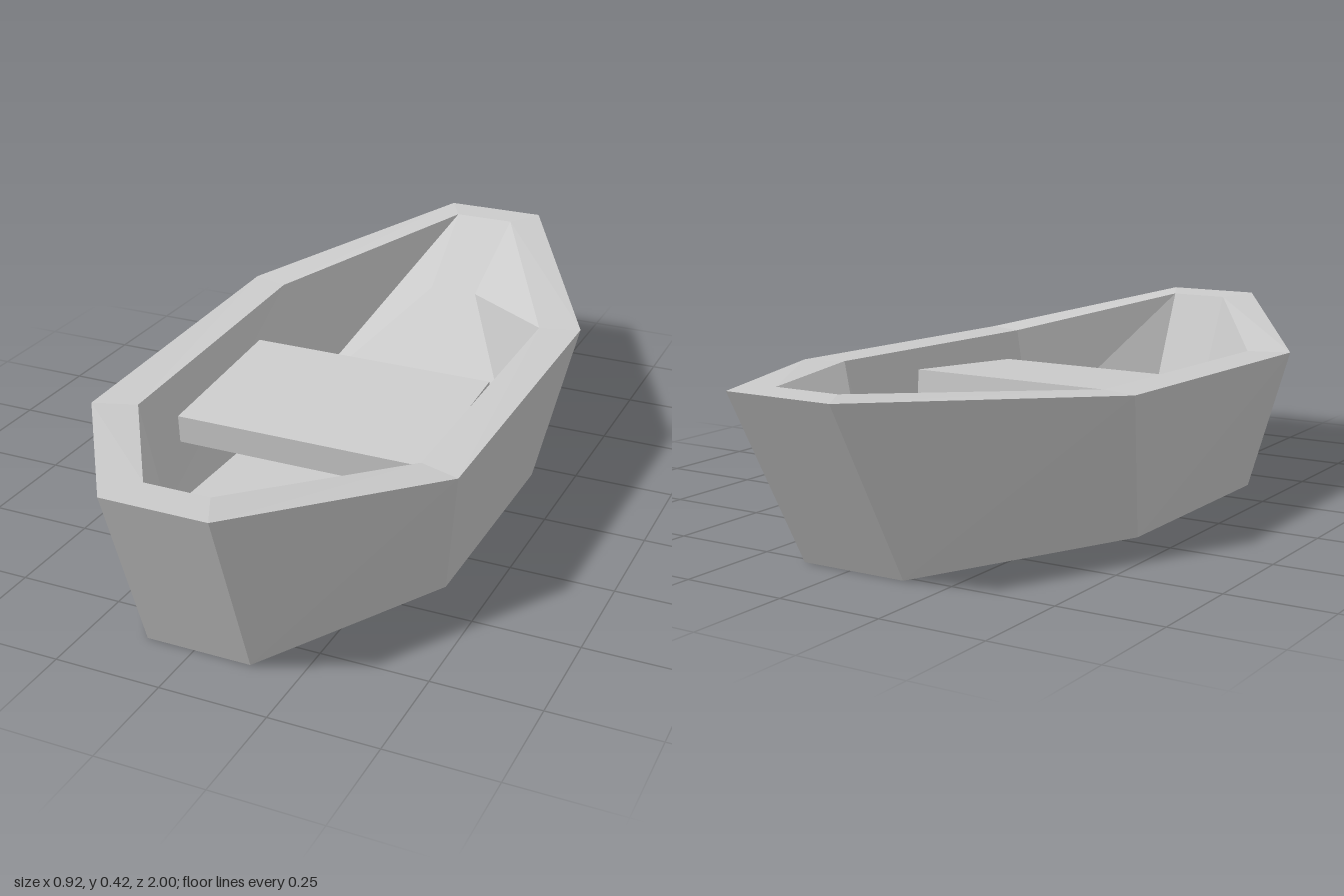
import * as THREE from 'three';

const material = new THREE.MeshStandardMaterial({ color: 0xcccccc, flatShading: true });

// Ring of eight points, counter-clockwise from above.
// Stations run front to back: [left x, right x, y, z]
function ring(stations) {
  const left = stations.map(([l, , y, z]) => [l, y, z]);
  const right = stations.map(([, r, y, z]) => [r, y, z]).reverse();
  return [...left, ...right];
}

function addQuad(out, a, b, c, d) {
  out.push(...a, ...b, ...c, ...a, ...c, ...d);
}

// Wall between two rings, facing outward when going from lower to upper
function addBand(out, from, to) {
  for (let i = 0; i < from.length; i++) {
    const j = (i + 1) % from.length;
    addQuad(out, from[i], from[j], to[j], to[i]);
  }
}

// Closes a ring with strips across the boat
function addCap(out, loop, up) {
  const n = loop.length;
  for (let i = 0; i < n / 2 - 1; i++) {
    const q = [loop[i], loop[i + 1], loop[n - 2 - i], loop[n - 1 - i]];
    addQuad(out, ...(up ? q : q.reverse()));
  }
}

function makeMesh(name, build) {
  const positions = [];
  build(positions);
  const geometry = new THREE.BufferGeometry();
  geometry.setAttribute('position', new THREE.Float32BufferAttribute(positions, 3));
  geometry.computeVertexNormals();
  const mesh = new THREE.Mesh(geometry, material);
  mesh.name = name;
  return mesh;
}

export function createModel() {
  const boat = new THREE.Group();
  boat.name = 'rowingBoat';

  const keel = ring([
    [0.135, -0.115, 0, 0.85],
    [0.395, -0.395, 0, 0.39],
    [0.395, -0.395, 0, -0.21],
    [0.125, -0.14, 0, -0.77],
  ]);
  const outerRim = ring([
    [0.135, -0.115, 0.42, 1],
    [0.455, -0.46, 0.34, 0.49],
    [0.46, -0.46, 0.36, -0.35],
    [0.125, -0.14, 0.415, -1],
  ]);
  const innerRim = ring([
    [0.085, -0.07, 0.415, 0.9],
    [0.355, -0.355, 0.34, 0.455],
    [0.36, -0.365, 0.36, -0.32],
    [0.07, -0.09, 0.415, -0.91],
  ]);
  const floorEdge = ring([
    [0.08, -0.065, 0.115, 0.76],
    [0.31, -0.31, 0.05, 0.455],
    [0.3, -0.3, 0.05, -0.285],
    [0.06, -0.07, 0.28, -0.66],
  ]);

  // Outer planking with flat bottom
  boat.add(makeMesh('hull', (p) => {
    addBand(p, keel, outerRim);
    addCap(p, keel, false);
  }));
  // Top edge of the sides
  boat.add(makeMesh('gunwale', (p) => addBand(p, outerRim, innerRim)));
  // Inner walls
  boat.add(makeMesh('innerWalls', (p) => addBand(p, innerRim, floorEdge)));
  // Floor, rising at both ends
  boat.add(makeMesh('floor', (p) => addCap(p, floorEdge, true)));

  // Bench across the middle, tipped slightly forward
  const seat = new THREE.Mesh(new THREE.BoxGeometry(0.63, 0.07, 0.425), material);
  seat.name = 'seat';
  seat.position.set(0.005, 0.256, 0.14);
  seat.rotation.x = 0.075;
  boat.add(seat);

  return boat;
}
